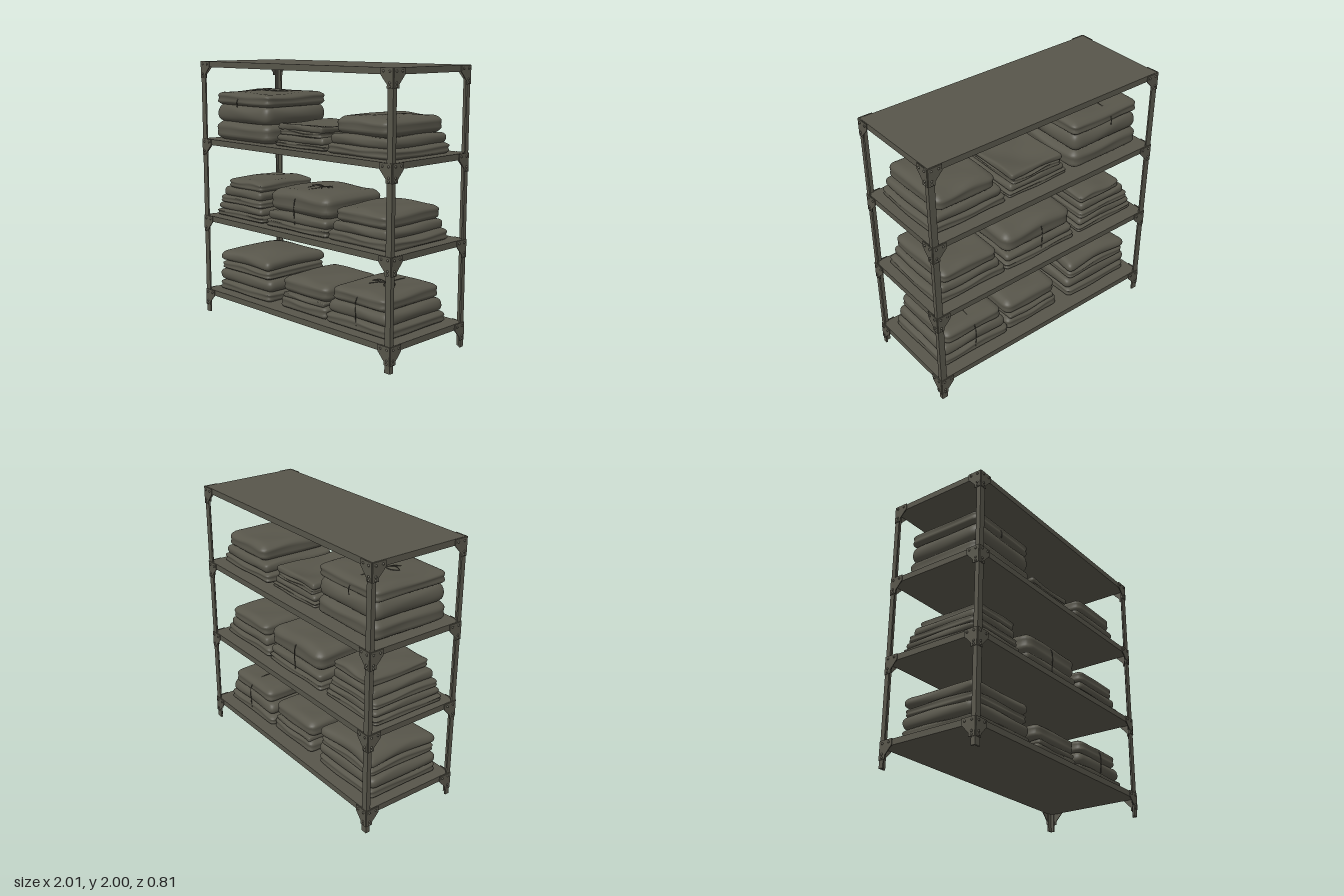
import * as THREE from 'three';
import { mergeVertices } from 'three/addons/utils/BufferGeometryUtils.js';

const olive = new THREE.MeshStandardMaterial({ color: 0x57554a, side: THREE.DoubleSide });
olive.name = 'olive grey';

const shelfTops = [0.185, 0.79, 1.4, 2.0];
const X = 0.99, Z = 0.393;

function add(parent, geometry, name) {
  const mesh = new THREE.Mesh(geometry, olive);
  mesh.name = name;
  parent.add(mesh);
  return mesh;
}

function polygon(points) {
  return new THREE.Shape(points.map(([x, y]) => new THREE.Vector2(x, y)));
}

// Folded cloth: a rounded slab with fold grooves round its edge, soft wrinkles,
// a top that domes (or sags) and corners that flare outwards.
function clothGeometry(width, height, depth, seed, grooveDepth, dome, flare) {
  const half = new THREE.Vector3(width, height, depth).multiplyScalar(0.5);
  const r = Math.min(half.y * 0.95, 0.07);
  const inner = half.clone().subScalar(r);
  const outer = inner.clone().negate();
  let g = new THREE.BoxGeometry(2, 2, 2, 24, 12, 22);
  g.deleteAttribute('normal');
  g.deleteAttribute('uv');
  g = mergeVertices(g);
  const pos = g.attributes.position;
  const p = new THREE.Vector3(), q = new THREE.Vector3();
  for (let i = 0; i < pos.count; i++) {
    p.fromBufferAttribute(pos, i);
    // crowd the rows towards the rounded edges
    p.set(...p.toArray().map((c) => Math.sin(c * Math.PI / 2))).multiply(half);
    q.copy(p).clamp(outer, inner);
    p.sub(q).setLength(r).add(q);
    const u = p.x / half.x, v = p.y / half.y, w = p.z / half.z;
    const edge = Math.max(Math.abs(u), Math.abs(w)) ** 6;
    const groove = grooveDepth * edge * Math.cos(2 * Math.PI * v);
    const ripple = 0.009 * Math.sin(u * 4 + seed * 2.1 + v) * Math.cos(w * 3.3 + seed * 1.3 - v);
    const stretch = 1 - groove - ripple * 1.6 * edge + flare * u * u * w * w;
    const lift = ripple * 0.8 + dome * ((1 - u * u) * (1 - w * w) - 0.25);
    pos.setXYZ(i, p.x * stretch, p.y + lift * (v + 1) / 2, p.z * stretch);
  }
  g.computeVertexNormals();
  return g;
}

// A pile on one shelf, built upwards from [width, height, x shift] per cloth
function addPile(parent, name, shelf, x, cloths, { depth = 0.62, dome = 0.008, flare = 0 } = {}) {
  const pile = new THREE.Group();
  pile.name = name;
  pile.position.set(x, shelfTops[shelf], 0.01);
  let y = 0;
  cloths.forEach(([width, height, shift = 0], i) => {
    const top = i === cloths.length - 1;
    const geometry = clothGeometry(width, height + 0.008, depth - 0.015 * i, x * 9 + shelf * 2 + i * 1.7,
      i % 2 ? 0 : 0.018, top ? dome : 0.008, top ? flare : 0);
    add(pile, geometry, 'foldedCloth').position.set(shift, y + height / 2, 0);
    y += height;
  });
  parent.add(pile);
  return pile;
}

function tube(points, closed) {
  const curve = new THREE.CatmullRomCurve3(points.map((a) => new THREE.Vector3(...a)), closed, 'centripetal');
  return new THREE.TubeGeometry(curve, 40, 0.003, 5, closed);
}

// String over the top of a pile, hanging down front and back, with a bow
function addString(pile, x, y, depth, drop) {
  const g = new THREE.Group();
  g.name = 'string';
  g.position.set(x, y, 0);
  const d = depth / 2;
  const side = (s) => [[0, -drop, s * (d + 0.004)], [0, -0.06, s * (d + 0.004)], [0, -0.012, s * (d - 0.05)]];
  add(g, tube([...side(-1), [0, 0.002, 0], ...side(1).reverse()], false), 'tie');
  for (const s of [-1, 1]) {
    add(g, tube([[0, 0.006, 0], [s * 0.05, 0.018, 0.035], [s * 0.1, 0.008, 0.03], [s * 0.07, 0.012, -0.015]], true), 'bowLoop');
    add(g, tube([[0, 0.006, 0], [s * 0.03, 0.014, 0.05], [s * 0.07, 0.006, 0.1]], false), 'bowTail');
  }
  pile.add(g);
}

// Angle-iron post with a gusset plate and bolts on both faces at every shelf
function addCorner(parent, sx, sz) {
  const corner = new THREE.Group();
  corner.name = 'corner';
  const t = 0.012, a = 0.048, b = 0.034;
  const angle = polygon([[0, 0], [a, 0], [a, t], [t, t], [t, b], [0, b]]
    .map(([x, z]) => [sx * (X - x), -sz * (Z - z)]));
  add(corner, new THREE.ExtrudeGeometry(angle, { depth: 1.998, bevelEnabled: false }).rotateX(-Math.PI / 2), 'post');

  const outline = polygon([[0, 0], [0.105, 0], [0.105, -0.045], [0.05, -0.105], [0.05, -0.13], [0, -0.13]]);
  const gusset = new THREE.ExtrudeGeometry(outline, { depth: 0.006, bevelEnabled: false });
  const bolt = new THREE.SphereGeometry(0.009, 8, 4, 0, Math.PI * 2, 0, Math.PI / 2).rotateX(Math.PI / 2);
  for (const y of shelfTops) for (const alongX of [true, false]) {
    const plate = new THREE.Group();
    plate.name = alongX ? 'longSideGusset' : 'shortSideGusset';
    plate.position.set(sx * X, y, sz * Z);
    // face the plate out of the rack, then mirror it so it reaches inwards
    plate.rotation.y = alongX ? (1 - sz) * Math.PI / 2 : sx * Math.PI / 2;
    plate.scale.x = alongX ? -sx * sz : sx * sz;
    add(plate, gusset, 'gusset');
    for (const [x, dy] of [[0.025, -0.022], [0.08, -0.022], [0.025, -0.095], [0.025, -0.118]]) {
      add(plate, bolt, 'bolt').position.set(x, dy, 0.005);
    }
    corner.add(plate);
  }
  parent.add(corner);
}

export function createModel() {
  const model = new THREE.Group();
  model.name = 'storageRack';

  // Shelves
  for (const y of shelfTops) {
    add(model, new THREE.BoxGeometry(1.97, 0.044, 0.776), 'shelf').position.y = y - 0.022;
  }

  // Posts and gussets
  for (const sx of [-1, 1]) for (const sz of [-1, 1]) addCorner(model, sx, sz);

  // Bottom shelf
  addPile(model, 'bottomLeftPile', 0, -0.61,
    [[0.61, 0.08], [0.63, 0.09], [0.57, 0.07], [0.55, 0.085]], { dome: 0.05, flare: 0.09 });
  addPile(model, 'bottomMiddlePile', 0, 0.05, [[0.5, 0.09], [0.44, 0.03], [0.49, 0.125]], { depth: 0.6 });
  const bottomRight = addPile(model, 'bottomRightPile', 0, 0.605, [[0.61, 0.085], [0.57, 0.09], [0.51, 0.105]]);
  addString(bottomRight, 0, 0.285, 0.6, 0.25);

  // Middle shelf
  addPile(model, 'middleLeftPile', 1, -0.665,
    [[0.55, 0.055], [0.52, 0.05], [0.49, 0.06], [0.45, 0.065, 0.01], [0.4, 0.07, 0.035]], { depth: 0.6 });
  const middle = addPile(model, 'middleMiddlePile', 1, -0.01, [[0.65, 0.06], [0.63, 0.065], [0.62, 0.165, 0.01]]);
  addString(middle, -0.01, 0.293, 0.59, 0.27);
  addPile(model, 'middleRightPile', 1, 0.62, [[0.6, 0.075], [0.52, 0.065], [0.48, 0.105]]);

  // Upper shelf
  const topLeft = addPile(model, 'topLeftPile', 2, -0.61, [[0.64, 0.14], [0.62, 0.13], [0.62, 0.095]], { depth: 0.64 });
  addString(topLeft, -0.04, 0.367, 0.61, 0.11);
  addPile(model, 'topMiddlePile', 2, 0.01,
    [[0.52, 0.04], [0.49, 0.045], [0.43, 0.04], [0.44, 0.035]], { depth: 0.58, dome: -0.03, flare: 0.05 });
  addPile(model, 'topRightPile', 2, 0.615, [[0.61, 0.07], [0.56, 0.07], [0.49, 0.12, 0.01]]);
  return model;
}
